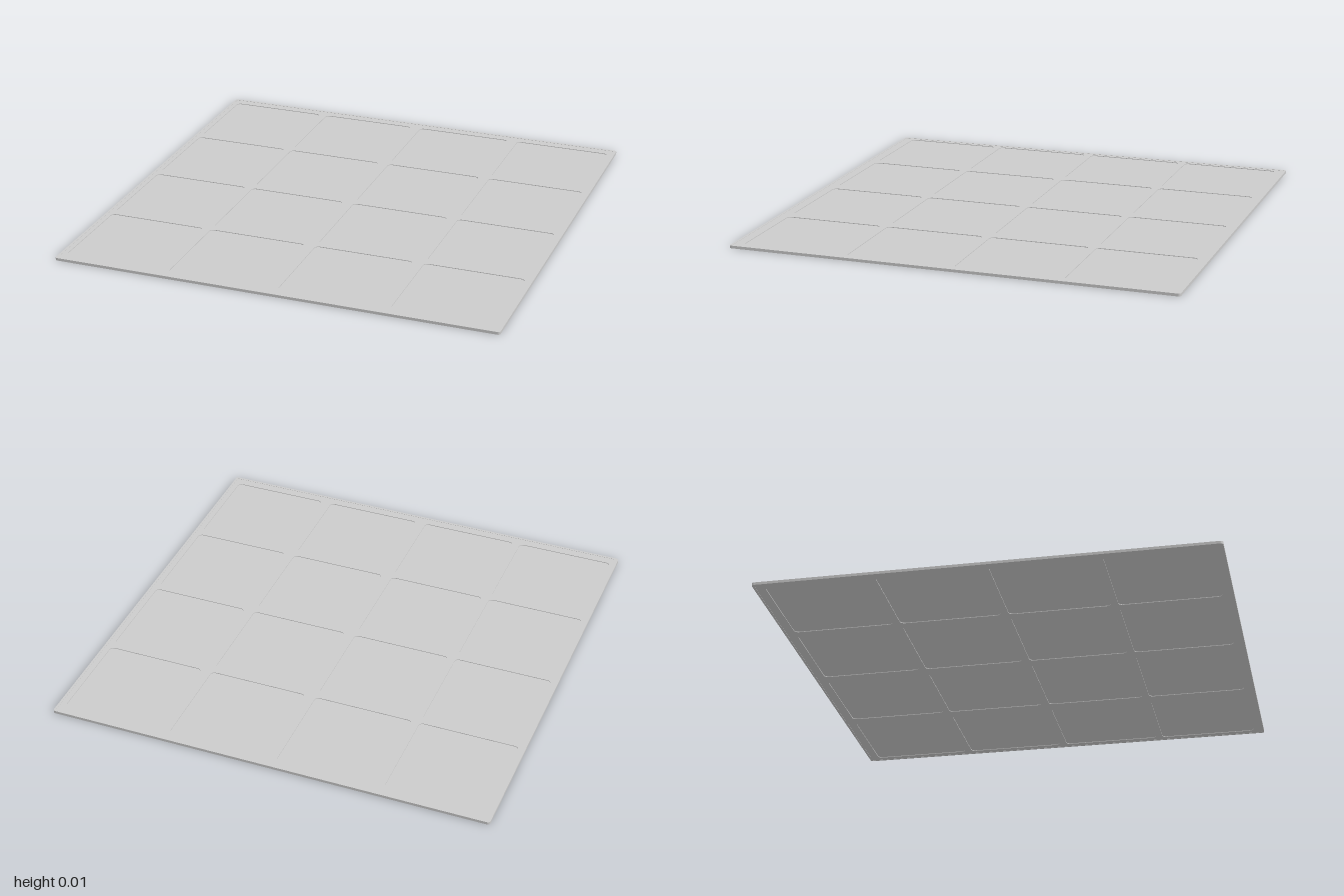
import * as THREE from 'three';

const THICK = 0.012;

// Rounded rectangle outline, usable as a shape or as a hole
function roundRect(target, x0, y0, x1, y1, r) {
  target.moveTo(x0 + r, y0);
  target.lineTo(x1 - r, y0);
  target.absarc(x1 - r, y0 + r, r, -Math.PI / 2, 0, false);
  target.lineTo(x1, y1 - r);
  target.absarc(x1 - r, y1 - r, r, 0, Math.PI / 2, false);
  target.lineTo(x0 + r, y1);
  target.absarc(x0 + r, y1 - r, r, Math.PI / 2, Math.PI, false);
  target.lineTo(x0, y0 + r);
  target.absarc(x0 + r, y0 + r, r, Math.PI, Math.PI * 1.5, false);
  return target;
}

export function createModel() {
  const group = new THREE.Group();
  const material = new THREE.MeshStandardMaterial({ color: 0xcccccc });

  // Extrude an outline drawn in x / -z upwards from y
  function addSlab(name, shape, y, height) {
    const geometry = new THREE.ExtrudeGeometry(shape, { depth: height, bevelEnabled: false, curveSegments: 6 });
    geometry.rotateX(-Math.PI / 2);
    geometry.translate(0, y, 0);
    const mesh = new THREE.Mesh(geometry, material);
    mesh.name = name;
    group.add(mesh);
  }

  // Pane centres along each axis
  const columns = [-0.745, -0.26, 0.24, 0.74];
  const rows = [-0.725, -0.243, 0.243, 0.725];
  const half = 0.225;

  // Outer rim, slightly proud of the lattice on both faces
  const rim = roundRect(new THREE.Shape(), -1, -1, 1, 1, 0.012);
  rim.holes.push(roundRect(new THREE.Path(), -0.99, -0.99, 0.99, 0.99, 0.008));
  addSlab('outerRim', rim, 0, THICK);

  // Lattice with a rounded opening per pane
  const lattice = roundRect(new THREE.Shape(), -0.99, -0.99, 0.99, 0.99, 0.008);
  for (const x of columns) {
    for (const z of rows) {
      lattice.holes.push(roundRect(new THREE.Path(), x - half, -z - half, x + half, -z + half, 0.02));
    }
  }
  addSlab('lattice', lattice, 0.001, THICK - 0.002);

  // Thin panes set at mid thickness, recessed on both faces
  for (const x of columns) {
    for (const z of rows) {
      const pane = roundRect(new THREE.Shape(), x - half, -z - half, x + half, -z + half, 0.02);
      addSlab('pane', pane, 0.004, THICK - 0.008);
    }
  }
  return group;
}
